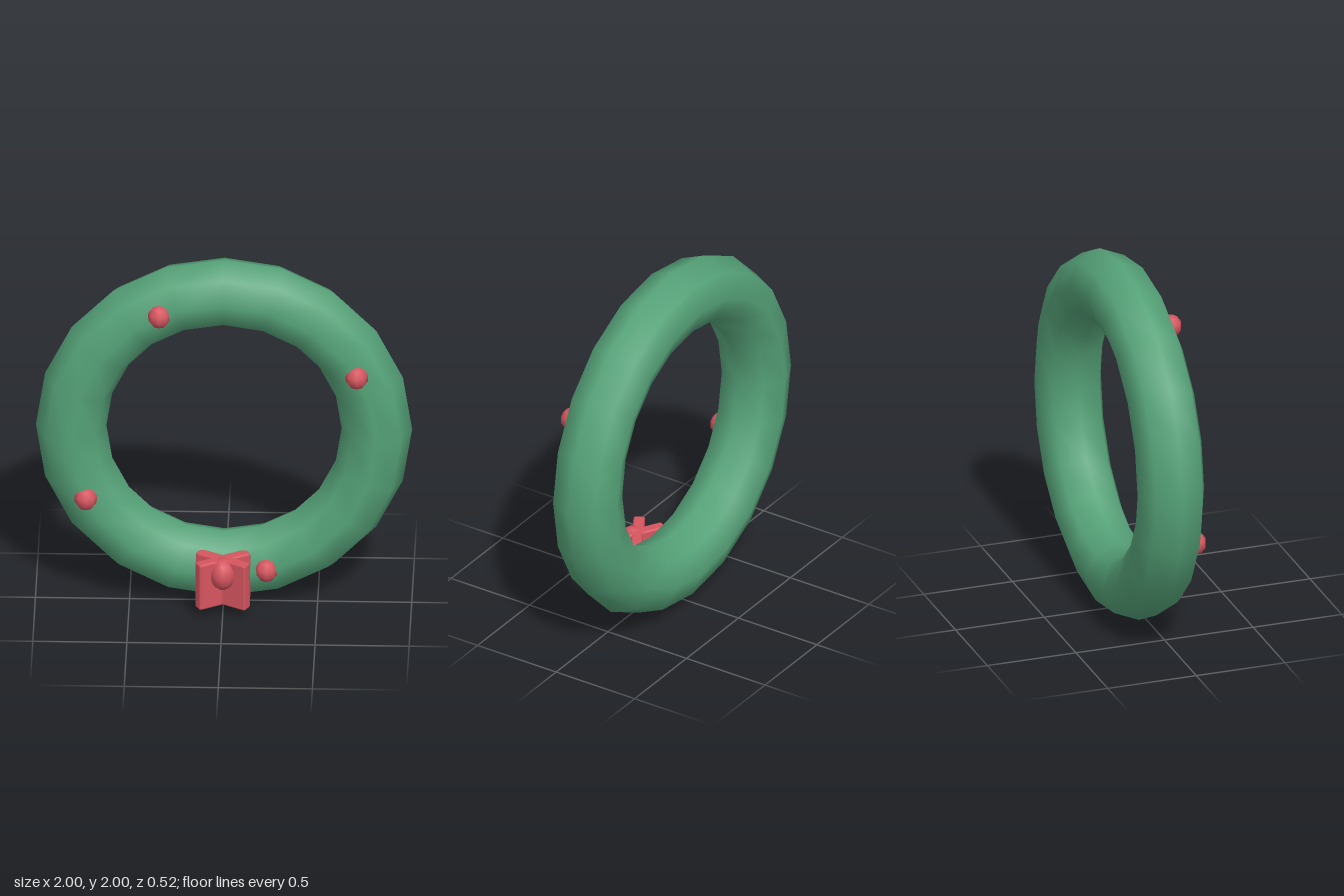
import * as THREE from 'three';
import { RoundedBoxGeometry } from 'three/addons/geometries/RoundedBoxGeometry.js';

export function createModel() {
  const wreath = new THREE.Group();
  wreath.name = 'wreath';

  const green = new THREE.MeshStandardMaterial({ color: 0x55a278 });
  green.name = 'leaf green';
  const red = new THREE.MeshStandardMaterial({ color: 0xd5555f });
  red.name = 'berry red';

  const add = (name, geometry, material, x, y, z, parent = wreath) => {
    const mesh = new THREE.Mesh(geometry, material);
    mesh.name = name;
    mesh.position.set(x, y, z);
    parent.add(mesh);
    return mesh;
  };

  // Ring of foliage
  add('ring', new THREE.TorusGeometry(0.8125, 0.1875, 8, 20), green, 0, 1, -0.077);

  // Berries half sunk into the front of the ring
  const berryGeometry = new THREE.SphereGeometry(0.063, 8, 5);
  const berries = [[-0.34, 1.743], [0.71, 1.392], [-0.73, 0.645], [0.23, 0.228]];
  berries.forEach(([x, y], i) => add(`berry${i + 1}`, berryGeometry, red, x, y, 0.09));

  // Bow: two crossed upright bands with a round knot
  const bow = new THREE.Group();
  bow.name = 'bow';
  wreath.add(bow);
  const bandGeometry = new RoundedBoxGeometry(0.31, 0.27, 0.062, 1, 0.012);
  for (const side of [-1, 1]) {
    const band = add(side < 0 ? 'rightBand' : 'leftBand', bandGeometry, red, 0, 0.195, 0.142, bow);
    band.rotation.y = -side * Math.PI / 6;
  }
  const knot = add('knot', new THREE.SphereGeometry(1, 12, 8), red, 0, 0.25, 0.175, bow);
  knot.scale.set(0.07, 0.09, 0.08);

  return wreath;
}
